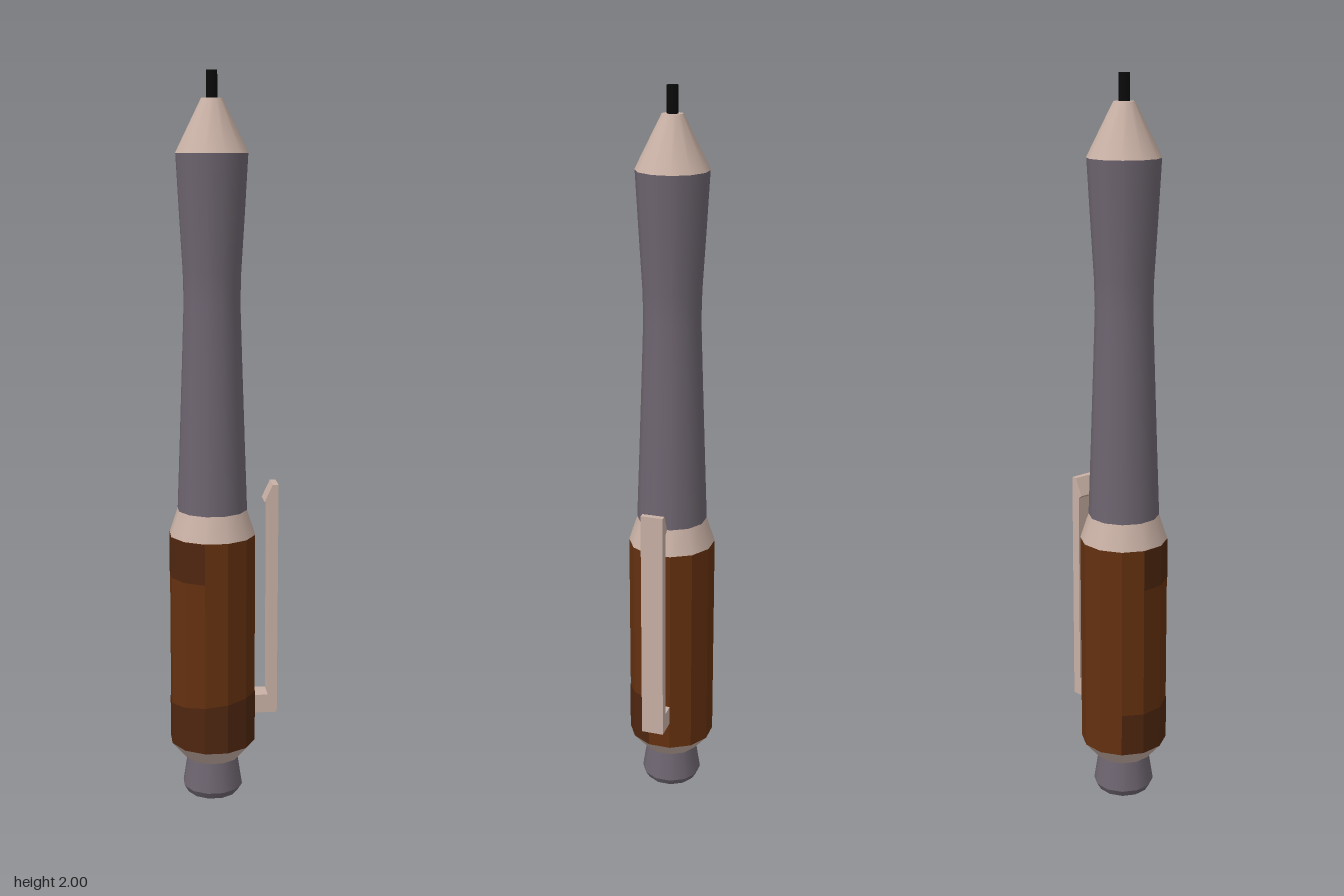
import * as THREE from 'three';

const SIDES = 12;

function material(name, color, flatShading = false) {
  const m = new THREE.MeshStandardMaterial({ color, flatShading });
  m.name = name;
  return m;
}

export function createModel() {
  const cream = material('cream metal', 0xc8b0a4);
  const grey = material('grey grip', 0x6e6570);
  const brown = material('brown barrel', 0x63300f, true);
  const darkBrown = material('dark brown', 0x4e260f, true);
  const black = material('black lead', 0x0a0a0a);

  const model = new THREE.Group();
  model.name = 'pen';
  const body = new THREE.Group();
  body.name = 'body';
  body.position.x = -0.031;
  model.add(body);

  function add(name, geometry, mat) {
    const mesh = new THREE.Mesh(geometry, mat);
    mesh.name = name;
    body.add(mesh);
    return mesh;
  }

  // Tapered section between two heights
  function section(name, r0, y0, r1, y1, mat) {
    const g = new THREE.CylinderGeometry(r1, r0, y1 - y0, SIDES);
    g.translate(0, (y0 + y1) / 2, 0);
    return add(name, g, mat);
  }

  // Push button at the foot
  section('buttonEdge', 0.073, 0, 0.085, 0.02, grey);
  section('button', 0.085, 0.02, 0.071, 0.11, grey);

  // Barrel with its two metal collars
  section('lowerCollar', 0.08, 0.108, 0.12, 0.155, cream);
  section('barrel', 0.12, 0.155, 0.12, 0.76, brown);
  section('upperCollar', 0.12, 0.76, 0.097, 0.83, cream);

  // Darker areas on the barrel, lying just above its facets
  function patch(name, fromDeg, facets, y0, y1, shape) {
    const g = new THREE.CylinderGeometry(0.1212, 0.1212, y1 - y0, facets, 1, true,
      THREE.MathUtils.degToRad(fromDeg), facets * Math.PI / 6);
    g.translate(0, (y0 + y1) / 2, 0);
    const p = g.attributes.position;
    for (let i = 0; i < p.count; i++) p.setY(i, shape(p.getX(i), p.getY(i)));
    add(name, g, darkBrown);
  }
  patch('lowerPatch', -120, 7, 0.156, 0.29, (x, y) => (y > 0.2 ? y + x * 0.12 : y));
  patch('upperPatch', -90, 3, 0.645, 0.759, (x, y) => y);

  // Waisted grip
  const gripProfile = [
    [0.097, 0.83], [0.09, 1.02], [0.083, 1.22], [0.077, 1.4],
    [0.079, 1.48], [0.088, 1.63], [0.097, 1.79],
  ].map(([r, y]) => new THREE.Vector2(r, y));
  add('grip', new THREE.LatheGeometry(gripProfile, SIDES), grey);

  // Tip cone and lead
  section('tipCone', 0.098, 1.79, 0.028, 1.93, cream);
  section('lead', 0.015, 1.925, 0.015, 2, black);

  // Clip: foot, long arm and bent tip in one side profile
  const clipShape = new THREE.Shape([
    [0.11, 0.237], [0.18, 0.237], [0.18, 0.9], [0.164, 0.9],
    [0.1416, 0.852], [0.153, 0.843], [0.154, 0.29], [0.11, 0.29],
  ].map(([r, y]) => new THREE.Vector2(r, y)));
  const clipGeometry = new THREE.ExtrudeGeometry(clipShape, { depth: 0.062, bevelEnabled: false });
  clipGeometry.translate(0, 0, -0.031);
  add('clip', clipGeometry, cream).rotation.y = Math.PI / 12;

  return model;
}
